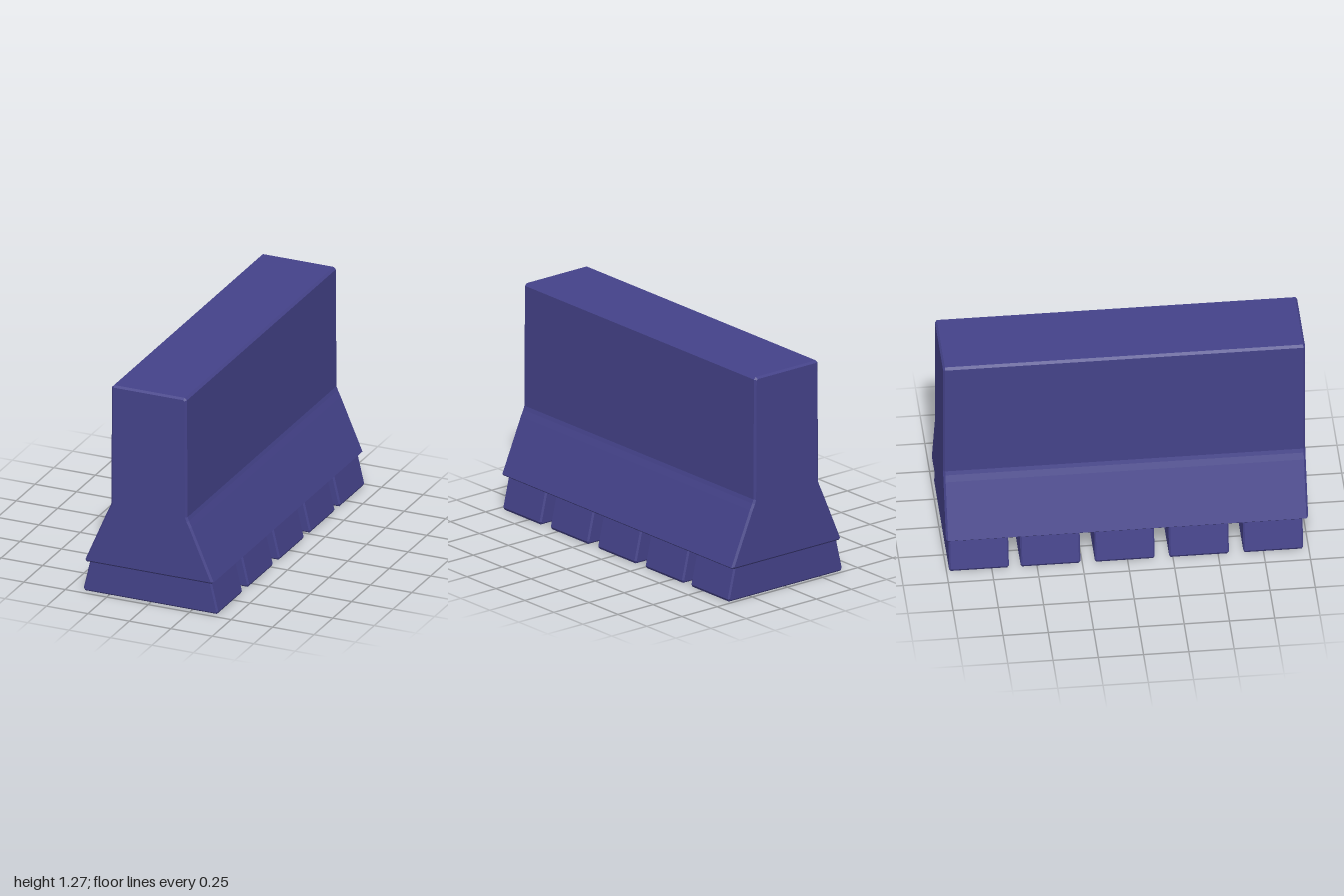
import * as THREE from 'three';

const material = new THREE.MeshStandardMaterial({ color: 0x444289 });

// Mirrors a right-hand half profile [x, y] (bottom to top) and extrudes it from z0 to z1 with chamfered ends
function prism(name, half, z0, z1, bevel, offsetX = 0) {
  const right = half.map(([x, y]) => new THREE.Vector2(offsetX + x, y));
  const left = half.map(([x, y]) => new THREE.Vector2(offsetX - x, y)).reverse();
  const geometry = new THREE.ExtrudeGeometry(new THREE.Shape([...right, ...left]), {
    depth: z1 - z0 - 2 * bevel,
    bevelEnabled: true,
    bevelSegments: 1,
    bevelSize: bevel,
    bevelThickness: bevel,
    bevelOffset: -bevel,
  });
  geometry.translate(0, 0, z0 + bevel);
  const mesh = new THREE.Mesh(geometry, material);
  mesh.name = name;
  return mesh;
}

export function createModel() {
  const group = new THREE.Group();
  group.name = 'roadBarrier';

  // Wall: flared lower skirt, gentle bend, nearly upright upper part
  const wall = [
    [0.376, 0.188], [0.387, 0.198],
    [0.255, 0.505], [0.238, 0.54], [0.23, 0.562],
    [0.226, 1.26], [0.213, 1.273],
  ];
  group.add(prism('barrierWall', wall, -1, 1, 0.011, 0.003));

  // Five feet, wider at the ground, with drainage gaps between them
  const foot = [[0.397, 0], [0.406, 0.015], [0.362, 0.2]];
  for (const z of [0.805, 0.395, -0.015, -0.425, -0.82]) {
    group.add(prism('foot', foot, z - 0.165, z + 0.165, 0.009));
  }
  return group;
}
